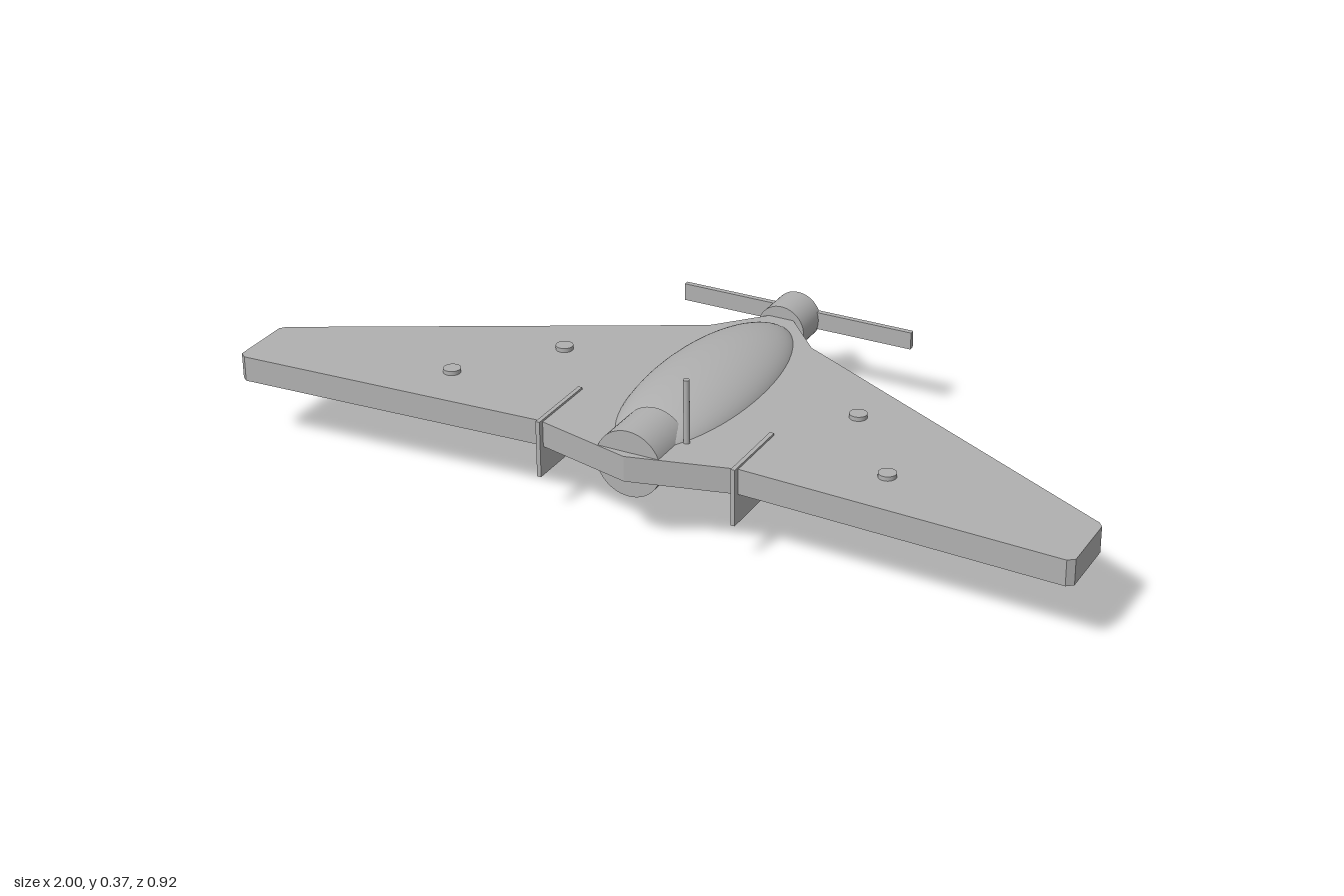
import * as THREE from 'three';

export function createModel() {
  const model = new THREE.Group();
  model.name = 'flyingWingDrone';
  const grey = new THREE.MeshStandardMaterial({ color: 0xb0b0b0 });
  grey.name = 'airframe grey';

  const add = (name, geometry, x = 0, y = 0, z = 0) => {
    const mesh = new THREE.Mesh(geometry, grey);
    mesh.name = name;
    mesh.position.set(x, y, z);
    model.add(mesh);
    return mesh;
  };
  // Cylinder or cone lying along z; the first radius is the +z end
  const alongZ = (rFront, rBack, length, sides = 48) =>
    new THREE.CylinderGeometry(rFront, rBack, length, sides).rotateX(Math.PI / 2);

  // Swept wing slab: half outline in x, z, mirrored
  const half = [[0.025, -0.3], [0.13, -0.185], [0.99, 0.267], [1, 0.28],
    [1, 0.425], [0.985, 0.437], [0.24, 0.4]];
  const outline = [...half, [0, 0.46], ...half.map(([x, z]) => [-x, z]).reverse()];
  const wingShape = new THREE.Shape(outline.map(([x, z]) => new THREE.Vector2(x, z)));
  const wing = new THREE.ExtrudeGeometry(wingShape, { depth: 0.06, bevelEnabled: false });
  add('wing', wing.rotateX(Math.PI / 2), 0, 0.22, 0);

  // Fuselage pod
  add('fuselage', new THREE.SphereGeometry(1, 64, 40).scale(0.14, 0.078, 0.355), 0, 0.197, 0.08);

  // Nose sensor housing and antenna
  add('noseSensor', alongZ(0.078, 0.078, 0.122), 0, 0.192, 0.379);
  add('antenna', new THREE.CylinderGeometry(0.007, 0.007, 0.17, 20), 0.09, 0.285, 0.345);

  // Belly camera ball with three lenses
  add('cameraBall', new THREE.SphereGeometry(0.095, 48, 32), 0, 0.095, 0.043);
  [['mainLens', -0.02, 0.089, 0.027], ['leftLens', 0.04, 0.098, 0.014],
    ['upperLens', -0.036, 0.112, 0.012]].forEach(([name, x, y, r]) =>
    add(name, alongZ(r, r, 0.035, 32), x, y, -0.045));

  // Motor, propeller and spinner at the -z end
  add('motor', alongZ(0.058, 0.058, 0.09), 0, 0.191, -0.338);
  add('propeller', new THREE.BoxGeometry(0.585, 0.042, 0.013), 0, 0.191, -0.379);
  add('spinner', alongZ(0.053, 0, 0.078), 0, 0.191, -0.421);

  // Fins and wing studs on both sides
  for (const side of [-1, 1]) {
    add('fin', new THREE.BoxGeometry(0.01, 0.134, 0.186), side * 0.235, 0.158, 0.323);
    for (const [x, z] of [[0.365, 0.073], [0.53, 0.287]]) {
      add('wingStud', new THREE.CylinderGeometry(0.02, 0.02, 0.03, 32), side * x, 0.215, z);
    }
  }
  return model;
}
